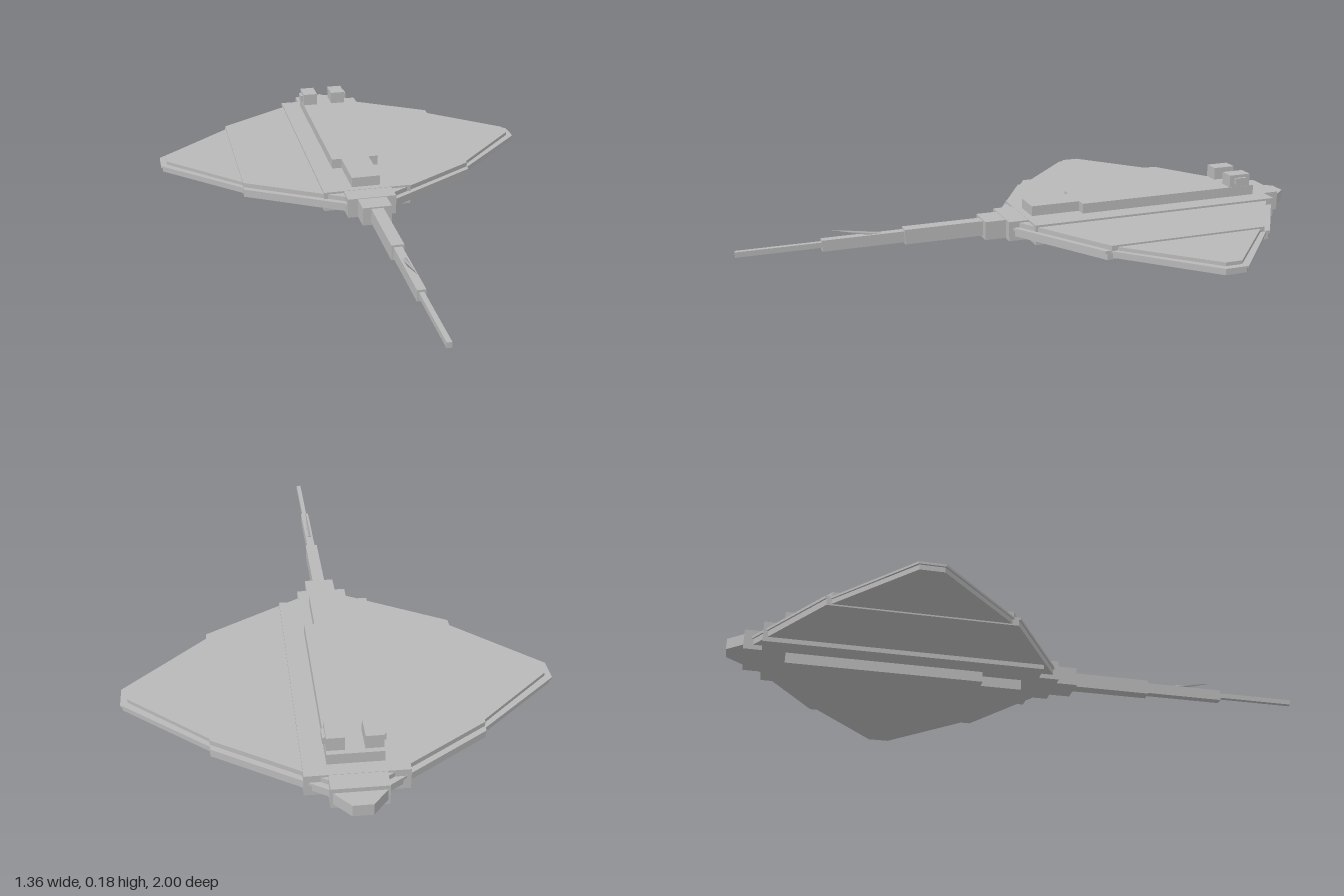
import * as THREE from 'three';

export function createModel() {
  const model = new THREE.Group();
  model.name = 'stingray';
  const grey = new THREE.MeshStandardMaterial({ color: 0xb8b8b8 });
  grey.name = 'grey skin';

  function add(name, geometry) {
    const mesh = new THREE.Mesh(geometry, grey);
    mesh.name = name;
    model.add(mesh);
    return mesh;
  }

  // Box given by its extents
  function box(name, x0, x1, y0, y1, z0, z1) {
    add(name, new THREE.BoxGeometry(x1 - x0, y1 - y0, z1 - z0))
      .position.set((x0 + x1) / 2, (y0 + y1) / 2, (z0 + z1) / 2);
  }
  const centred = (name, w, y0, y1, z0, z1) => box(name, -w, w, y0, y1, z0, z1);

  // Flat plate, symmetric in x, from one side's [x, z] outline
  function plate(name, half, y0, y1) {
    const all = [...half, ...half.slice().reverse().map(([x, z]) => [-x, z])];
    const shape = new THREE.Shape(all.map(([x, z]) => new THREE.Vector2(x, -z)));
    const geo = new THREE.ExtrudeGeometry(shape, { depth: y1 - y0, bevelEnabled: false });
    geo.rotateX(-Math.PI / 2).translate(0, y0, 0);
    add(name, geo);
  }

  // Wings: stepped layers, thinner toward the tips, with a narrow rim
  const outer = (d) => [
    [0.085, -0.915 + d], [0.41, -0.695 + d], [0.68 - d, -0.465 + d * 0.5],
    [0.68 - d, -0.385 - d * 0.5], [0.41, -0.125 - d], [0.085, 0.085 - d],
  ];
  const inner = (d) => [
    [0.085, -0.92 + d], [0.41, -0.71 + d], [0.41, -0.105 - d], [0.085, 0.09 - d],
  ];
  plate('wingTipLower', outer(0.006), 0.057, 0.073);
  plate('wingTipRim', outer(0), 0.073, 0.08);
  plate('wingTipUpper', outer(0.022), 0.08, 0.092);
  plate('wingLower', inner(0.006), 0.052, 0.073);
  plate('wingRim', inner(0), 0.073, 0.082);
  plate('wingUpper', inner(0.022), 0.082, 0.098);

  // Body core and head
  centred('bodyWide', 0.153, 0.036, 0.105, -0.885, 0.035);
  centred('bodyCore', 0.084, 0.036, 0.104, -0.945, 0.105);
  plate('snout', [[0.03, -1], [0.082, -0.94]], 0.052, 0.09);

  // Raised back and belly, each with a narrower rear part
  centred('back', 0.084, 0.1, 0.14, -0.84, -0.165);
  centred('backRear', 0.05, 0.1, 0.14, -0.165, 0.01);
  centred('belly', 0.084, 0, 0.04, -0.81, -0.16);
  centred('bellyRear', 0.05, 0, 0.04, -0.16, -0.02);

  // Eyes with pupils on the outer sides
  for (const s of [-1, 1]) {
    const eye = add('eye', new THREE.BoxGeometry(0.054, 0.045, 0.08));
    eye.position.set(s * 0.056, 0.1615, -0.783);
    const pupil = add('pupil', new THREE.BoxGeometry(0.01, 0.022, 0.042));
    pupil.position.set(s * 0.087, 0.162, -0.783);
  }

  // Tail in shrinking segments
  centred('tailBase', 0.05, 0.038, 0.102, 0.1, 0.178);
  centred('tailFront', 0.021, 0.046, 0.097, 0.175, 0.45);
  centred('tailMiddle', 0.014, 0.052, 0.09, 0.45, 0.725);
  centred('tailTip', 0.008, 0.064, 0.082, 0.725, 1);

  // Barb: slim four-sided spike leaning up and back
  const barb = new THREE.ConeGeometry(0.009, 0.165, 4);
  barb.rotateY(Math.PI / 4).rotateX(Math.PI / 2 - 0.2);
  add('barb', barb.toNonIndexed()).position.set(0, 0.102, 0.61);
  barb.computeVertexNormals();

  return model;
}
